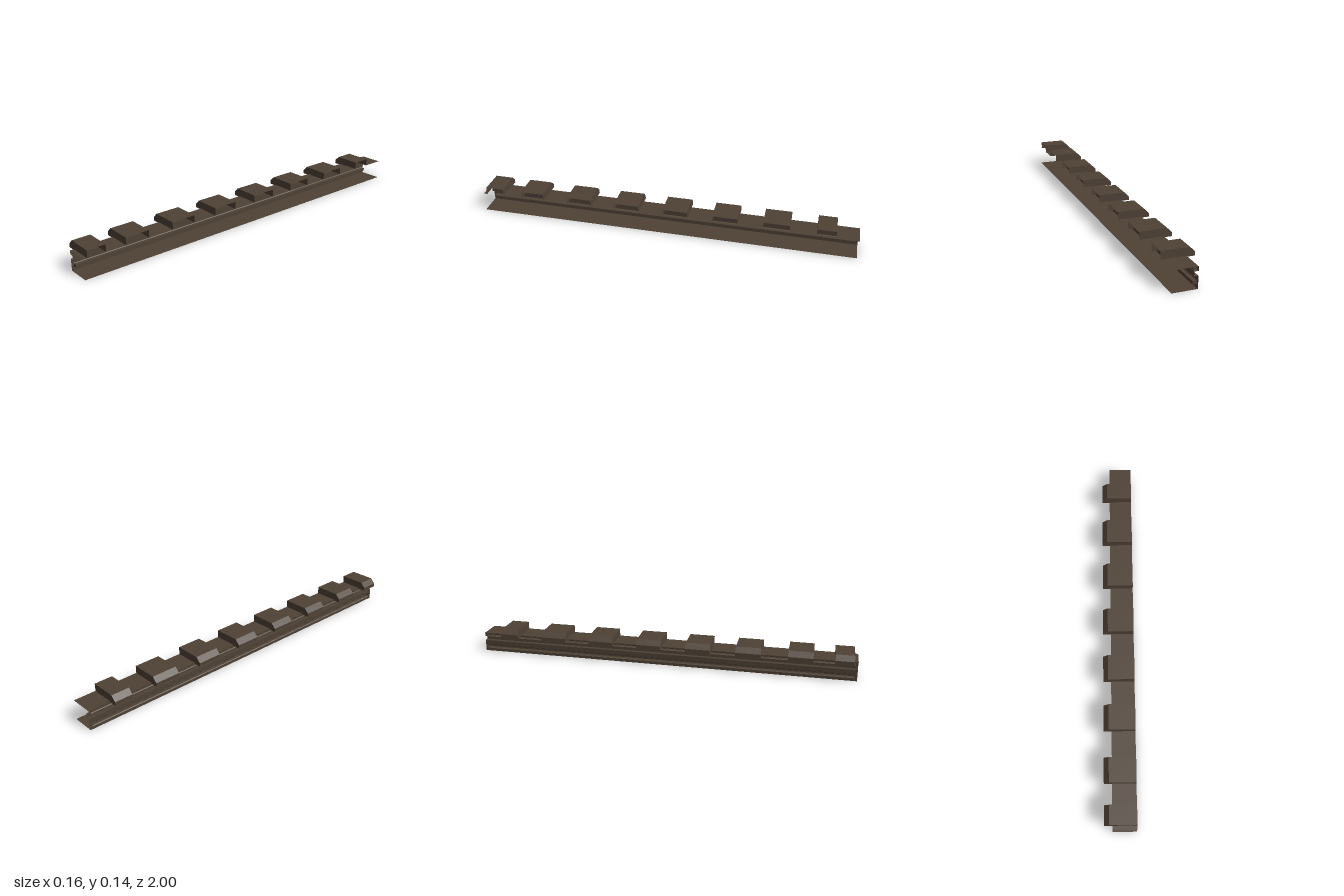
import * as THREE from 'three';

const HALF = 1;        // half length of the rail
const INNER = 0.08;    // open edge of the half section
const FACE = -0.04;    // outer face of the side wall
const DEEP = -0.02;    // floor of the grooves
const TOP = 0.102;     // height of the top plate
const INSET = 0.012;   // solid length left at each groove end

// Front and back z of each lug, from front to back
const LUGS = [
  [0.98, 0.885], [0.78, 0.655], [0.52, 0.39], [0.26, 0.13],
  [0, -0.13], [-0.26, -0.39], [-0.52, -0.655], [-0.79, -0.885],
];

// Sweeps an open [x, y] profile between two z positions as flat faces
function sweep(profile, z0, z1) {
  const pos = [];
  for (let i = 0; i < profile.length - 1; i++) {
    const [ax, ay] = profile[i];
    const [bx, by] = profile[i + 1];
    pos.push(ax, ay, z0, bx, by, z0, bx, by, z1);
    pos.push(ax, ay, z0, bx, by, z1, ax, ay, z1);
  }
  const geo = new THREE.BufferGeometry();
  geo.setAttribute('position', new THREE.Float32BufferAttribute(pos, 3));
  geo.computeVertexNormals();
  return geo;
}

// Flat end face at one z, facing front (dir 1) or back (dir -1)
function endFace(profile, z, dir) {
  const shape = new THREE.Shape(profile.map(([x, y]) => new THREE.Vector2(dir * x, y)));
  const geo = new THREE.ShapeGeometry(shape);
  if (dir < 0) geo.rotateY(Math.PI);
  return geo.translate(0, 0, z);
}

export function createModel() {
  const model = new THREE.Group();
  model.name = 'slottedRail';
  const metal = new THREE.MeshStandardMaterial({ color: 0x4f4236, side: THREE.DoubleSide });
  metal.name = 'darkBronzeMetal';

  const add = (parent, name, geo) => {
    const mesh = new THREE.Mesh(geo, metal);
    mesh.name = name;
    parent.add(mesh);
  };

  // Base plate
  add(model, 'basePlate', sweep([[INNER, 0], [FACE, 0]], -HALF, HALF));

  // Side wall: two flanges with a full-length recess between them
  const wall = new THREE.Group();
  wall.name = 'sideWall';
  model.add(wall);
  const flanges = [
    { name: 'lower', y0: 0, y1: 0.06, g0: 0.018, g1: 0.033 },
    { name: 'upper', y0: 0.082, y1: TOP, g0: 0.086, g1: 0.093 },
  ];
  add(wall, 'recess', sweep([[FACE, 0.06], [DEEP, 0.06], [DEEP, 0.082], [FACE, 0.082]], -HALF, HALF));

  // Each flange has a groove with bevelled lips, closed at both ends
  for (const { name, y0, y1, g0, g1 } of flanges) {
    const b = 0.003;
    const groove = [
      [FACE, g0 - b], [FACE + b, g0], [DEEP, g0],
      [DEEP, g1], [FACE + b, g1], [FACE, g1 + b],
    ];
    const g = HALF - INSET;
    add(wall, name + 'Flange', sweep([[FACE, y0], ...groove, [FACE, y1]], -g, g));
    for (const s of [-1, 1]) {
      add(wall, name + 'FlangeEnd', sweep([[FACE, y0], [FACE, y1]], s * g, s * HALF));
      add(wall, name + 'GrooveEnd', endFace(groove, s * g, -s));
    }
  }

  // Top plate sections between the lugs
  const stops = [HALF, ...LUGS.flat(), -HALF];
  for (let i = 0; i < stops.length; i += 2) {
    add(model, 'topPlate', sweep([[INNER, TOP], [FACE, TOP]], stops[i], stops[i + 1]));
  }

  // Hollow raised lugs with a chamfered outer edge and overhanging lip
  const lug = [
    [FACE, TOP], [FACE, 0.097], [-0.08, 0.097], [-0.08, 0.116],
    [-0.055, 0.141], [INNER, 0.141],
  ];
  for (const [z0, z1] of LUGS) {
    const group = new THREE.Group();
    group.name = 'lug';
    add(group, 'lugShell', sweep(lug, z0, z1));
    add(group, 'lugFront', endFace([...lug, [INNER, TOP]], z0, 1));
    add(group, 'lugBack', endFace([...lug, [INNER, TOP]], z1, -1));
    model.add(group);
  }

  return model;
}
